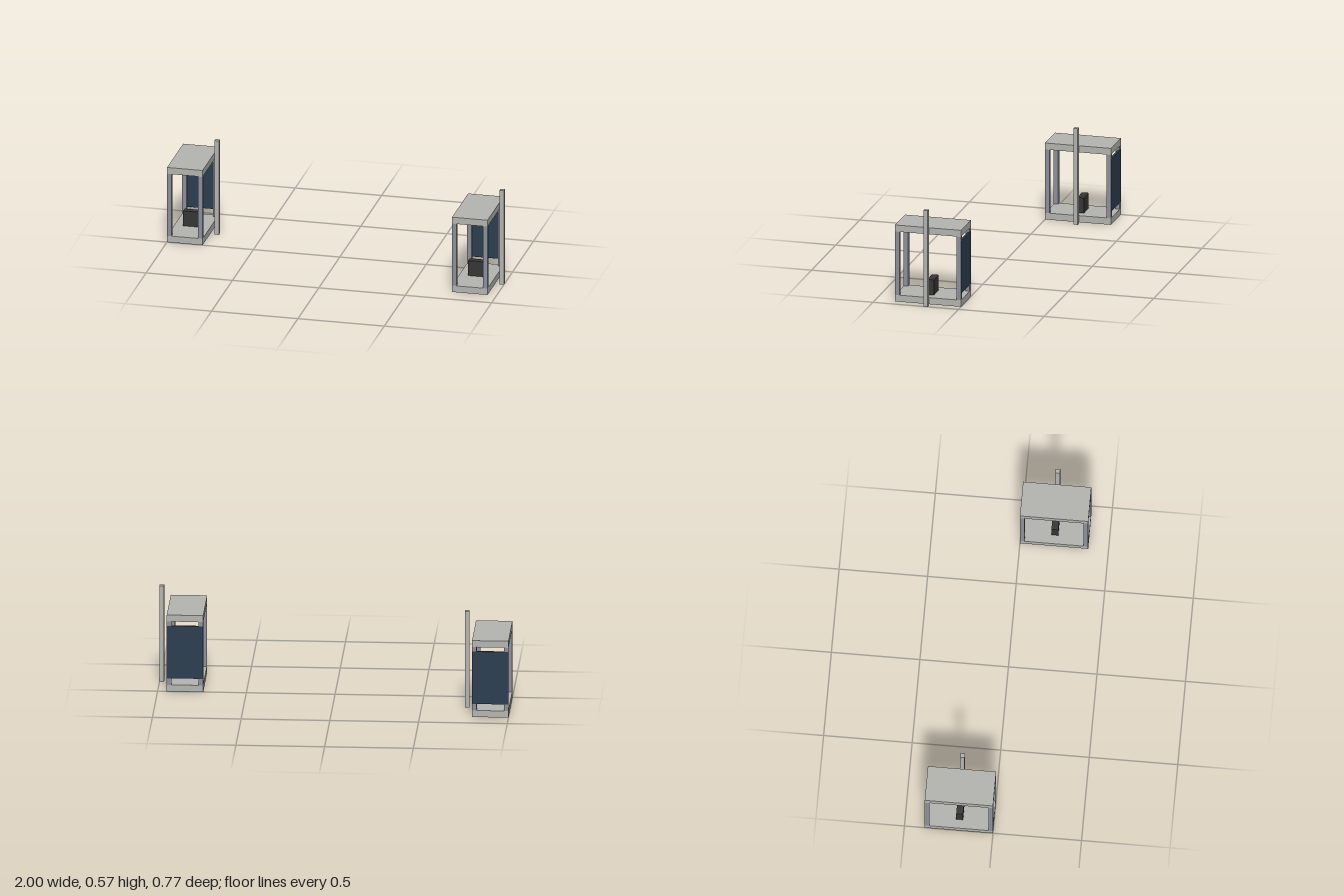
import * as THREE from 'three';

const U = 0.0257; // module size: one post width

function createShelter(mats) {
  const g = new THREE.Group();
  g.name = 'shelter';
  // box with its underside at y, all measures in post widths
  const box = (name, mat, w, h, d, x, y, z) => {
    const m = new THREE.Mesh(new THREE.BoxGeometry(w * U, h * U, d * U), mat);
    m.name = name;
    m.position.set(x * U, (y + h / 2) * U, z * U);
    g.add(m);
  };

  // floor and roof slabs
  box('floorSlab', mats.concrete, 8, 1.5, 15, 0, 0, 0);
  box('roofSlab', mats.concrete, 8, 1.5, 15, 0, 16, 0);

  // corner posts
  for (const x of [-3.5, 3.5]) {
    for (const z of [-7, 7]) box('cornerPost', mats.steel, 1, 14.5, 1, x, 1.5, z);
  }

  // rear panel, a hair proud of the posts
  box('backPanel', mats.panel, 7.96, 12, 0.5, 0, 3, -7.27);

  // block in the middle of the floor
  box('bench', mats.bench, 4, 3.5, 1.5, 0, 1.5, 0);

  // free-standing pole beside the shelter
  box('signPole', mats.concrete, 1, 22, 1, 5.5, 0, 0);
  return g;
}

export function createModel() {
  const material = (name, color) => {
    const m = new THREE.MeshStandardMaterial({ color });
    m.name = name;
    return m;
  };
  const mats = {
    concrete: material('light grey', 0xb5b5b1),
    steel: material('blue grey', 0x8f919c),
    panel: material('navy', 0x2c3e50),
    bench: material('charcoal', 0x363636),
  };

  const model = new THREE.Group();
  model.name = 'shelterPair';
  // two shelters set diagonally across the way
  const right = createShelter(mats);
  right.name = 'rightShelter';
  right.position.set(-1 + 4 * U, 0, -7.5 * U);
  const left = createShelter(mats);
  left.name = 'leftShelter';
  left.position.set(1 - 6 * U, 0, 7.5 * U);
  model.add(right, left);
  return model;
}
